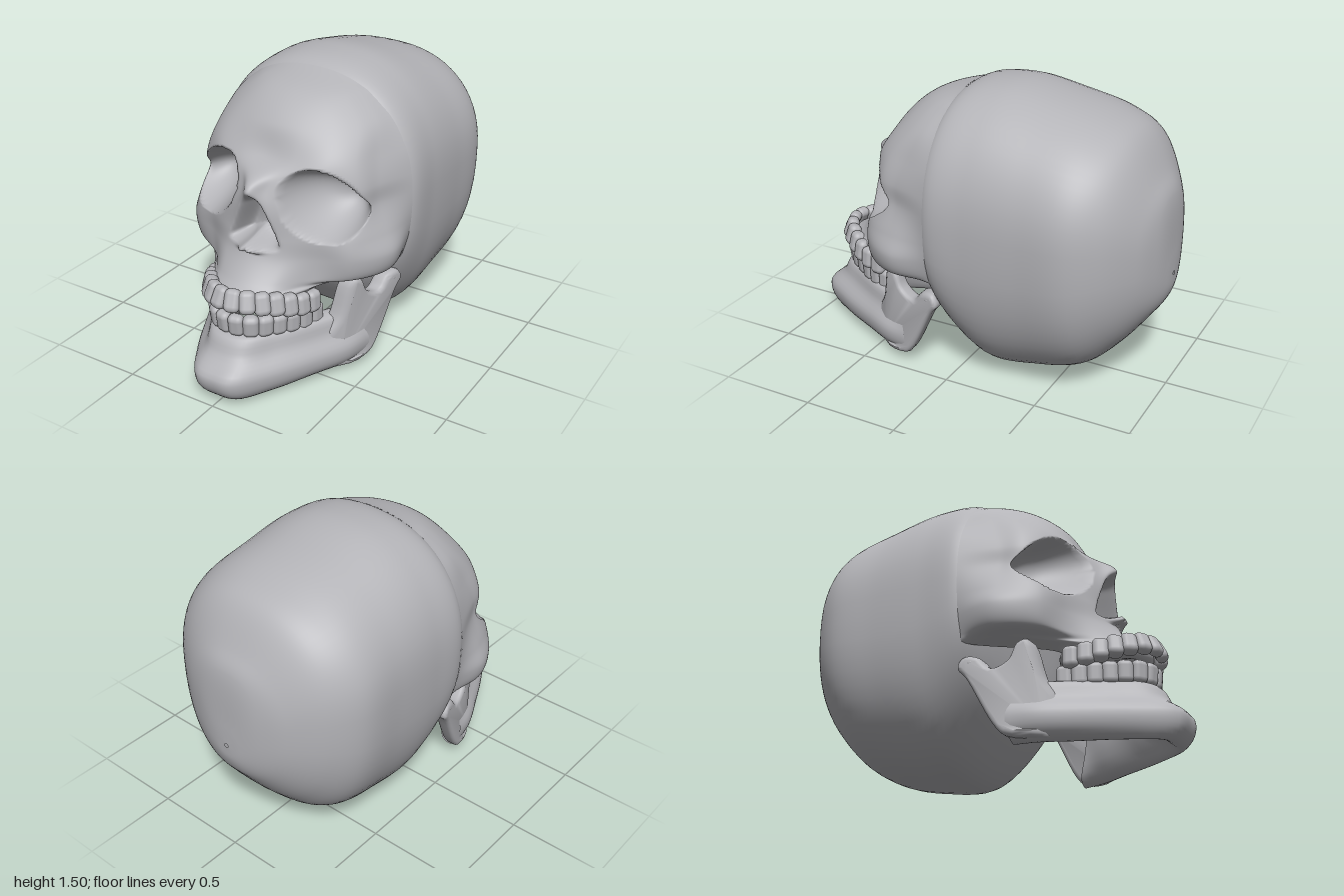
import * as THREE from 'three';
import { toCreasedNormals } from 'three/addons/utils/BufferGeometryUtils.js';
import { RoundedBoxGeometry } from 'three/addons/geometries/RoundedBoxGeometry.js';

const V = (x, y, z) => new THREE.Vector3(x, y, z);
const { lerp, smoothstep } = THREE.MathUtils;

// Smooth skin through rows of points; closed rows form a tube. An optional rule moves each point.
function skin(rows, across, along, closed, rule) {
  const sampled = rows.map((r) => {
    const curve = new THREE.CatmullRomCurve3(r, closed);
    return Array.from({ length: closed ? across : across + 1 }, (_, i) => curve.getPoint(i / across));
  });
  const cols = sampled[0].length;
  const pos = new Float32Array(cols * (along + 1) * 3);
  for (let j = 0; j < cols; j++) {
    const curve = new THREE.CatmullRomCurve3(sampled.map((r) => r[j]));
    for (let i = 0; i <= along; i++) {
      const p = curve.getPoint(i / along);
      if (rule) rule(p);
      p.toArray(pos, (i * cols + j) * 3);
    }
  }
  const index = [];
  for (let i = 0; i < along; i++) {
    for (let j = 0; j < (closed ? cols : cols - 1); j++) {
      const k = (j + 1) % cols;
      const a = i * cols + j, b = i * cols + k, c = a + cols, d = b + cols;
      index.push(a, c, b, b, c, d);
    }
  }
  const geo = new THREE.BufferGeometry();
  geo.setAttribute('position', new THREE.BufferAttribute(pos, 3));
  geo.setIndex(index);
  geo.computeVertexNormals();
  return geo;
}

// Completes a half row, given from the middle outwards
const mirrorRow = (half) => [...half.slice(1).reverse().map((p) => V(-p.x, p.y, p.z)), ...half];

// Section where face and braincase meet [z, top, bottom, half width, widest height]
const SEAM = [0.08, 1.445, 0.24, 0.565, 0.86];
const UPPER = 2.25, LOWER = 2.4;
const seamX = (y) => {
  const [, top, bottom, w, mid] = SEAM;
  const e = y > mid ? UPPER : LOWER;
  const n = y > mid ? (y - mid) / (top - mid) : (mid - y) / (mid - bottom);
  return w * (1 - n ** e) ** (1 / e);
};
const seamY = (x) => SEAM[4] + (SEAM[1] - SEAM[4]) * (1 - (x / SEAM[3]) ** UPPER) ** (1 / UPPER);

// Braincase: rounded sections from back to front, closing behind the face
function craniumGeometry() {
  const stations = [
    [-1.0, 0.63, 0.61, 0.01, 0.62], [-0.995, 0.74, 0.54, 0.08, 0.64], [-0.97, 1.02, 0.47, 0.2, 0.75],
    [-0.92, 1.12, 0.395, 0.32, 0.8], [-0.8, 1.31, 0.24, 0.48, 0.85], [-0.65, 1.385, 0.1, 0.57, 0.86],
    [-0.4, 1.45, 0.02, 0.58, 0.86], [-0.14, 1.49, 0.005, 0.58, 0.86], SEAM,
    [0.15, 1.3, 0.4, 0.46, 0.88], [0.18, 0.9, 0.86, 0.02, 0.88]];
  const rows = stations.map(([z, top, bottom, w, mid]) => Array.from({ length: 32 }, (_, i) => {
    const a = (i / 32) * Math.PI * 2, c = Math.cos(a), s = Math.sin(a);
    const k = 2 / (s > 0 ? UPPER : LOWER);
    const h = s > 0 ? top - mid : mid - bottom;
    return V(w * Math.sign(c) * Math.abs(c) ** k, mid + h * Math.sign(s) * Math.abs(s) ** k, z);
  }));
  return skin(rows, 64, 80, true);
}

// Forehead, cheeks and upper jaw: [height, middle z, then x, z out to the temple]
function faceGeometry() {
  const rows = [
    [1.37, 0.3, 0.1, 0.285, 0.18, 0.25, 0.25, 0.19, 0.29, 0.13],
    [1.26, 0.43, 0.14, 0.41, 0.27, 0.35, 0.36, 0.26, 0.41, 0.17],
    [1.12, 0.5, 0.15, 0.5, 0.3, 0.46, 0.41, 0.36, 0.46, 0.23],
    [1.0, 0.67, 0.07, 0.6, 0.27, 0.52, 0.44, 0.39, 0.485, 0.27],
    [0.9, 0.655, 0.11, 0.61, 0.27, 0.53, 0.45, 0.38, 0.49, 0.27],
    [0.76, 0.64, 0.15, 0.61, 0.3, 0.54, 0.45, 0.46, 0.54, 0.28],
    [0.66, 0.67, 0.15, 0.63, 0.3, 0.54, 0.46, 0.47, 0.575, 0.28],
    [0.56, 0.75, 0.14, 0.7, 0.28, 0.56, 0.45, 0.45, 0.545, 0.28],
    [0.53, 0.79, 0.14, 0.73, 0.25, 0.59, 0.36, 0.45, 0.46, 0.3]];
  const rowPoints = ([y, z0, ...xz]) =>
    [V(0, y, z0), ...[0, 2, 4, 6].map((i) => V(xz[i], y, xz[i + 1]))];
  const halves = rows.map((r) => [...rowPoints(r), V(seamX(r[0]), r[0], SEAM[0])]);
  // Crown edge on the seam
  halves.unshift([0, 0.06, 0.12, 0.18, 0.23, 0.27].map((x) => V(x, seamY(x), SEAM[0])));
  // Tooth line, gum and palate
  const line = [...rowPoints([0.5, 0.83, 0.13, 0.78, 0.22, 0.66, 0.265, 0.56, 0.27, 0.49]), V(0.2, 0.5, 0.46)];
  halves.push(line, line.map((p) => V(p.x * 0.93, 0.46, p.z - 0.02)), line.map((p) => V(p.x * 0.03, 0.5, p.z - 0.1)));
  return skin(halves.map(mirrorRow), 120, 144, false, (p) => {
    const x = Math.abs(p.x), y = p.y;
    // Eye sockets
    const dx = x - 0.297, dy = y - 0.925 + 0.3 * dx;
    const s = (dx / 0.18) ** 2 + (dy / 0.165) ** 2;
    if (s < 1 && p.z > 0.2) p.z -= 0.24 * (1 - s ** 1.3);
    // Nasal opening with the spine at its floor
    const w = 0.03 + 0.43 * (1 - y);
    if (y > 0.68 && y < 1 && p.z > 0.4) {
      p.z -= 0.13 * smoothstep(w - x, 0, 0.065) * smoothstep(y, 0.695, 0.74) * smoothstep(1 - y, 0.005, 0.09);
      p.z += 0.16 * Math.exp(-((x / 0.045) ** 2)) * Math.max(0, 1 - Math.abs(y - 0.73 + 0.4 * x) / 0.04);
    }
  });
}

// Curved body of the lower jaw, sections swept from one side to the other
function jawBodyGeometry() {
  const low = [[0, 1.0], [0.1, 0.985], [0.22, 0.82], [0.345, 0.58], [0.42, 0.42], [0.45, 0.28]];
  const high = [[0, 0.87], [0.1, 0.84], [0.19, 0.71], [0.27, 0.58], [0.335, 0.45], [0.4, 0.33]];
  const half = low.map(([bx, bz], i) => {
    const [tx, tz] = high[i];
    const at = (x, z, inset, y) => {
      const len = Math.hypot(x, z - 0.3);
      return V(x - (x / len) * inset, y, z - ((z - 0.3) / len) * inset);
    };
    return [at(bx, bz, 0.07, 0.02), at(bx, bz, 0.012, 0.07), at(bx, bz, 0, 0.15),
      at(lerp(bx, tx, 0.65), lerp(bz, tz, 0.65), 0, 0.23), at(tx, tz, 0, 0.31),
      at(tx, tz, 0.07, 0.32), at(tx, tz, 0.09, 0.2), at(bx, bz, 0.12, 0.05)];
  });
  const mirrored = half.slice(1).reverse().map((ring) => ring.map((p) => V(-p.x, p.y, p.z)));
  return skin([...mirrored, ...half], 32, 60, true);
}

// Rising branch of the lower jaw, leaning outwards towards the back and sinking into the body in front
function ramusGeometry() {
  const outline = [[0.46, 0.03], [0.3, 0.04], [0.22, 0.1], [0.1, 0.33], [0.05, 0.4], [0.08, 0.455],
    [0.15, 0.445], [0.21, 0.385], [0.29, 0.42], [0.33, 0.5], [0.395, 0.5], [0.44, 0.32], [0.5, 0.2]];
  const shape = new THREE.Shape();
  shape.moveTo(...outline[0]);
  shape.splineThru([...outline.slice(1), outline[0]].map(([z, y]) => new THREE.Vector2(z, y)));
  const geo = new THREE.ExtrudeGeometry(shape, {
    depth: 0.04, bevelEnabled: true, bevelThickness: 0.025, bevelSize: 0.025, bevelOffset: -0.025,
    bevelSegments: 4, curveSegments: 4 });
  geo.rotateY(-Math.PI / 2);
  const p = geo.attributes.position;
  for (let i = 0; i < p.count; i++) {
    const z = p.getZ(i);
    p.setX(i, p.getX(i) + 0.425 + (0.3 - z) * 0.25 - Math.max(0, z - 0.38) * 0.5);
  }
  return toCreasedNormals(geo, 0.9);
}

// Reflected copy with corner order restored
function mirrorGeometry(source) {
  const geo = source.clone().scale(-1, 1, 1);
  for (const name of ['position', 'normal']) {
    const a = geo.attributes[name];
    for (let i = 0; i < a.count; i += 3) {
      const b = V().fromBufferAttribute(a, i + 1), c = V().fromBufferAttribute(a, i + 2);
      a.setXYZ(i + 1, c.x, c.y, c.z);
      a.setXYZ(i + 2, b.x, b.y, b.z);
    }
  }
  return geo;
}

export function createModel() {
  const model = new THREE.Group();
  model.name = 'skull';
  const bone = new THREE.MeshStandardMaterial({ color: 0xb4b4b8, side: THREE.DoubleSide });
  bone.name = 'bone';
  const add = (name, geo, parent = model) => {
    const mesh = new THREE.Mesh(geo, bone);
    mesh.name = name;
    parent.add(mesh);
    return mesh;
  };

  add('cranium', craniumGeometry());
  add('face', faceGeometry());

  const jaw = new THREE.Group();
  jaw.name = 'lowerJaw';
  model.add(jaw);
  add('jawBody', jawBodyGeometry(), jaw);
  const ramus = ramusGeometry();
  add('leftRamus', ramus, jaw);
  add('rightRamus', mirrorGeometry(ramus), jaw);
  for (const side of [1, -1]) {
    const condyle = add(side > 0 ? 'leftCondyle' : 'rightCondyle', new THREE.SphereGeometry(1, 16, 12), jaw);
    condyle.scale.set(0.06, 0.035, 0.045);
    condyle.position.set(side * 0.44, 0.42, 0.105);
  }

  // Teeth set along each dental arch
  const addTeeth = (name, half, tilt) => {
    const group = new THREE.Group();
    group.name = name;
    model.add(group);
    const arch = new THREE.CatmullRomCurve3(mirrorRow(half.map((p) => V(...p))));
    const count = 14;
    for (let i = 0; i < count; i++) {
      const t = (i + 0.5) / count;
      const back = Math.abs(t - 0.5) * 2;
      const p = arch.getPointAt(t), dir = arch.getTangentAt(t);
      const tooth = add('tooth', new RoundedBoxGeometry(0.08, 0.115, lerp(0.06, 0.085, back), 3, 0.029), group);
      tooth.position.copy(p);
      tooth.rotation.order = 'YXZ';
      tooth.rotation.set(tilt * (1 - back), Math.atan2(-dir.z, dir.x), 0);
    }
  };
  addTeeth('upperTeeth', [[0, 0.52, 0.86], [0.1, 0.513, 0.825], [0.19, 0.485, 0.73], [0.25, 0.45, 0.62], [0.275, 0.43, 0.5]], -0.5);
  addTeeth('lowerTeeth', [[0, 0.375, 0.835], [0.1, 0.372, 0.8], [0.18, 0.36, 0.69], [0.235, 0.35, 0.58], [0.265, 0.345, 0.46]], 0.15);
  return model;
}
